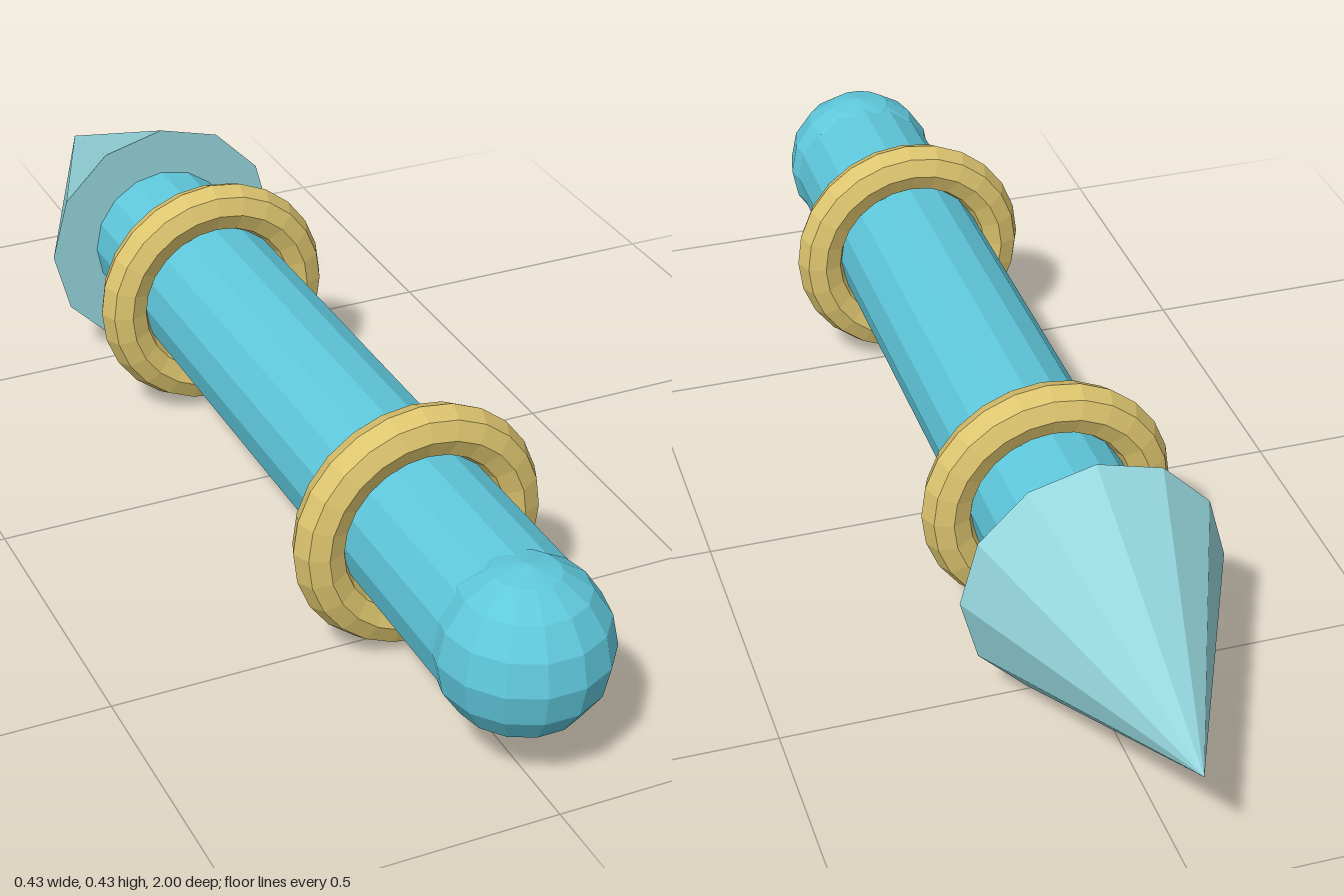
import * as THREE from 'three';

export function createModel() {
  const model = new THREE.Group();
  const axisY = 0.215;

  const material = (name, color) =>
    new THREE.MeshStandardMaterial({ name, color, flatShading: true });
  const cyan = material('cyan', 0x5fc8dc);
  const paleCyan = material('pale cyan', 0x94d5dc);
  const gold = material('gold', 0xdcc46e);

  const add = (name, geometry, mat, z) => {
    const mesh = new THREE.Mesh(geometry, mat);
    mesh.name = name;
    mesh.position.set(0, axisY, z);
    model.add(mesh);
  };

  // Shaft running along z, from the arrowhead to the rounded end
  const shaftFront = 0.866, shaftBack = -0.525;
  const shaft = new THREE.CylinderGeometry(0.131, 0.131, shaftFront - shaftBack, 16);
  shaft.rotateX(-Math.PI / 2);
  add('shaft', shaft, cyan, (shaftFront + shaftBack) / 2);

  // Rounded front end
  add('roundedEnd', new THREE.SphereGeometry(0.1375, 14, 8), cyan, shaftFront);

  // Pointed head with its apex at the back
  const head = new THREE.ConeGeometry(0.215, 0.475, 12);
  head.rotateX(-Math.PI / 2);
  add('arrowHead', head, paleCyan, -0.7625);

  // Two rings around the shaft
  for (const [name, z] of [['frontRing', 0.526], ['backRing', -0.292]]) {
    add(name, new THREE.TorusGeometry(0.167, 0.042, 8, 24), gold, z);
  }

  return model;
}
